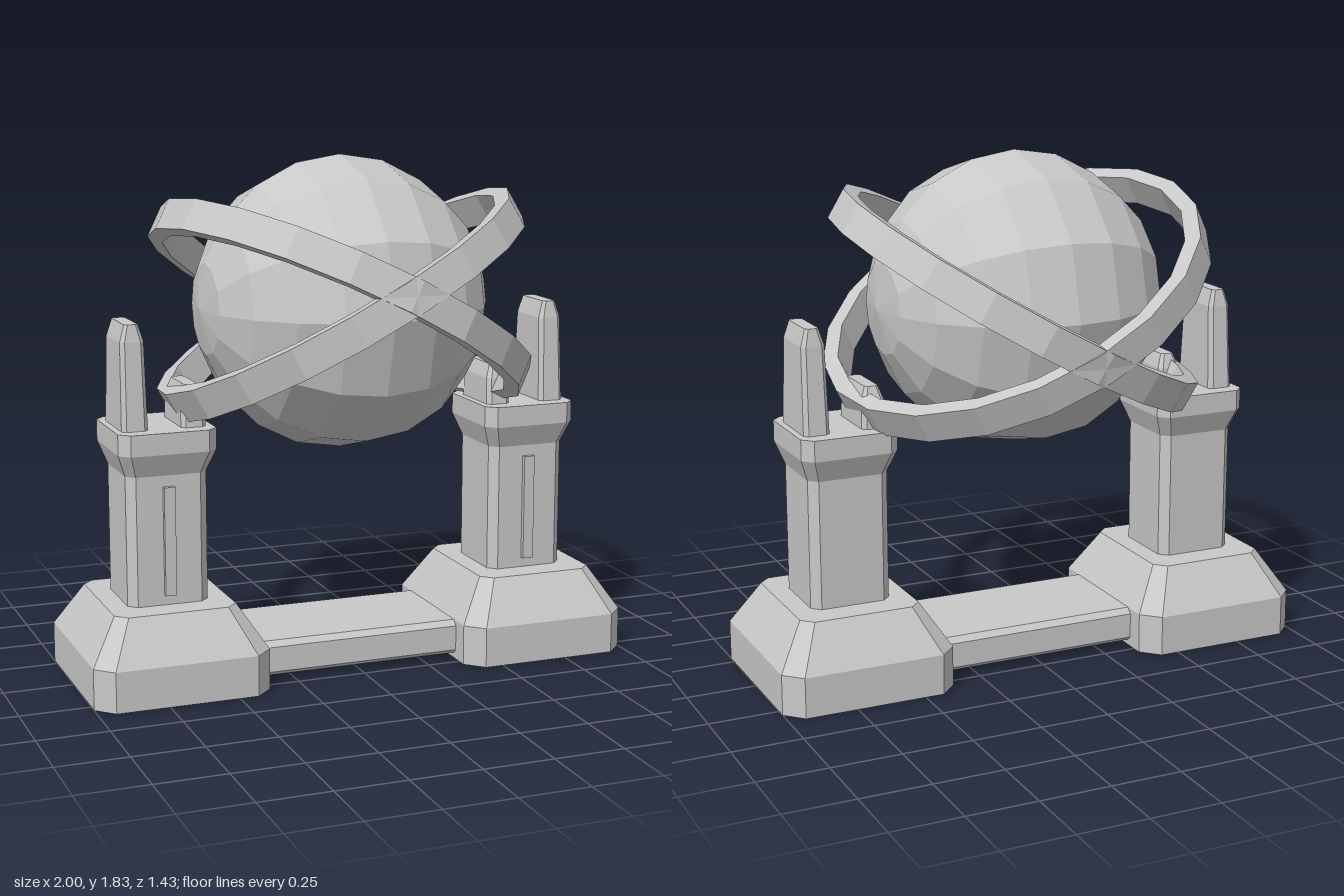
import * as THREE from 'three';

const stone = new THREE.MeshStandardMaterial({ color: 0xc8c8c8 });
stone.name = 'stone grey';

// Faceted mesh with one normal per face
function facet(name, geometry) {
  const g = geometry.index ? geometry.toNonIndexed() : geometry;
  g.computeVertexNormals();
  const mesh = new THREE.Mesh(g, stone);
  mesh.name = name;
  return mesh;
}

// Stack of chamfered rectangles, each row [y, halfX, halfZ, chamfer]
function loft(name, rows) {
  const pos = [], idx = [];
  for (const [y, a, b, c] of rows) {
    const outline = [[a, b - c], [a, c - b], [a - c, -b], [c - a, -b], [-a, c - b], [-a, b - c], [c - a, b], [a - c, b]];
    for (const [x, z] of outline) pos.push(x, y, z);
  }
  const top = (rows.length - 1) * 8;
  for (let r = 0; r < top; r += 8) {
    for (let i = 0; i < 8; i++) {
      const j = (i + 1) % 8;
      idx.push(r + i, r + j, r + 8 + j, r + i, r + 8 + j, r + 8 + i);
    }
  }
  for (let i = 1; i < 7; i++) {
    idx.push(top, top + i, top + i + 1, 0, i + 1, i);
  }
  const g = new THREE.BufferGeometry();
  g.setAttribute('position', new THREE.Float32BufferAttribute(pos, 3));
  g.setIndex(idx);
  return facet(name, g);
}

// Pillar with base, flared head, front strip and two upright prongs
function pillar(side) {
  const group = new THREE.Group();
  group.name = side > 0 ? 'leftPillar' : 'rightPillar';
  group.add(loft('base', [
    [0, 0.315, 0.35, 0.062], [0.145, 0.315, 0.35, 0.062], [0.3, 0.218, 0.25, 0.04],
  ]));
  group.add(loft('column', [
    [0.29, 0.145, 0.145, 0.03], [0.76, 0.145, 0.145, 0.03],
    [0.84, 0.175, 0.18, 0.036], [0.915, 0.175, 0.18, 0.036],
  ]));
  const strip = facet('frontStrip', new THREE.BoxGeometry(0.04, 0.385, 0.04));
  strip.position.set(0, 0.528, 0.142);
  group.add(strip);

  const outer = loft('tallProng', [
    [0.9, 0.047, 0.122, 0.015], [1.22, 0.042, 0.102, 0.014], [1.28, 0.024, 0.09, 0.01],
  ]);
  outer.position.x = side * 0.105;
  const inner = loft('shortProng', [
    [0.9, 0.045, 0.118, 0.015], [1.01, 0.042, 0.108, 0.014], [1.06, 0.024, 0.09, 0.01],
  ]);
  inner.position.x = -side * 0.105;
  group.add(outer, inner);
  group.position.x = side * 0.685;
  return group;
}

// Flat band ring, tilted sideways and leaned back
function ring(side) {
  const ri = 0.66, ro = 0.718, h = 0.057;
  const profile = [[ri, -h], [ro, -h], [ro, h], [ri, h], [ri, -h]].map(p => new THREE.Vector2(...p));
  const g = new THREE.LatheGeometry(profile, 20);
  g.rotateZ(side * THREE.MathUtils.degToRad(28));
  g.rotateX(THREE.MathUtils.degToRad(-9));
  const mesh = facet(side > 0 ? 'ringRisingLeft' : 'ringRisingRight', g);
  mesh.position.y = 1.305;
  return mesh;
}

export function createModel() {
  const model = new THREE.Group();
  model.name = 'ringedGlobeMonument';

  for (const side of [1, -1]) model.add(pillar(side), ring(side));

  // Globe with its poles pointing sideways
  const globe = facet('globe', new THREE.SphereGeometry(0.525, 12, 10).rotateZ(Math.PI / 2));
  globe.position.y = 1.305;
  model.add(globe);

  // Bevelled beam joining the two bases
  model.add(loft('crossBeam', [
    [0.02, 0.42, 0.205, 0.005], [0.035, 0.42, 0.22, 0.005],
    [0.125, 0.42, 0.22, 0.005], [0.145, 0.42, 0.2, 0.005],
  ]));
  return model;
}
